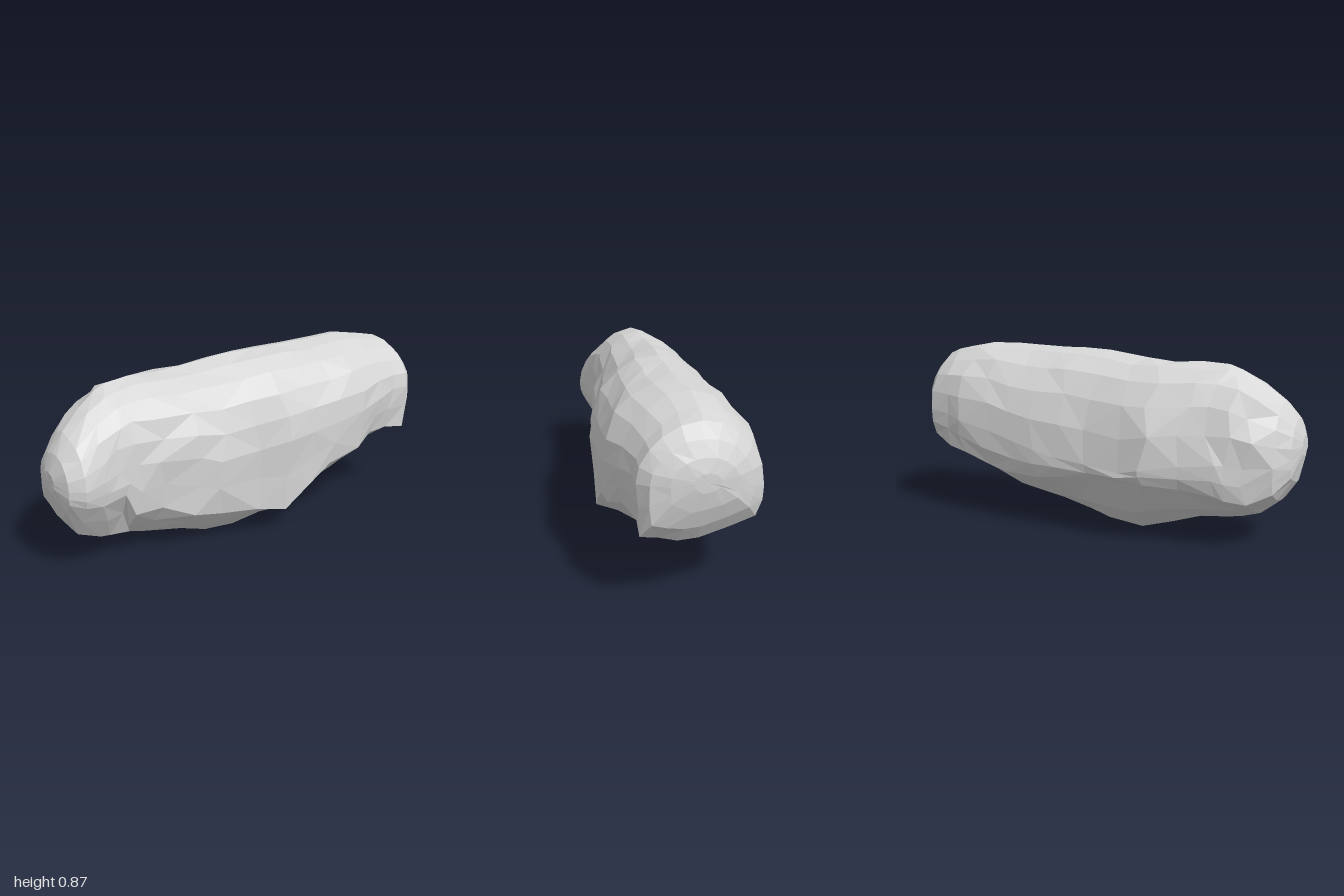
import * as THREE from 'three';

// Cross-sections along the boulder:
// [x, top, bottom, back z, front z, lower front edge y, lower back edge y]
const SECTIONS = [
  [-1.0, 0.5, 0.41, -0.04, 0.07, 0.44, 0.43],
  [-0.97, 0.58, 0.29, -0.13, 0.15, 0.38, 0.33],
  [-0.91, 0.655, 0.2, -0.2, 0.19, 0.36, 0.26],
  [-0.81, 0.735, 0.135, -0.25, 0.18, 0.35, 0.22],
  [-0.72, 0.79, 0.12, -0.275, 0.17, 0.36, 0.23],
  [-0.66, 0.805, 0.11, -0.29, 0.17, 0.25, 0.25],
  [-0.54, 0.815, 0.09, -0.32, 0.185, 0.25, 0.27],
  [-0.38, 0.818, 0.05, -0.37, 0.23, 0.19, 0.29],
  [-0.25, 0.825, 0.0, -0.36, 0.255, 0.16, 0.28],
  [-0.08, 0.848, 0.005, -0.335, 0.285, 0.15, 0.27],
  [0.08, 0.855, 0.04, -0.33, 0.33, 0.12, 0.26],
  [0.22, 0.857, 0.08, -0.32, 0.34, 0.23, 0.25],
  [0.36, 0.862, 0.12, -0.31, 0.36, 0.31, 0.25],
  [0.52, 0.872, 0.18, -0.29, 0.367, 0.35, 0.28],
  [0.67, 0.862, 0.25, -0.27, 0.335, 0.39, 0.32],
  [0.8, 0.842, 0.3, -0.24, 0.31, 0.39, 0.35],
  [0.9, 0.82, 0.335, -0.2, 0.32, 0.37, 0.39],
  [0.955, 0.77, 0.41, -0.14, 0.285, 0.44, 0.46],
  [0.985, 0.71, 0.49, -0.07, 0.21, 0.53, 0.53],
  [1.0, 0.65, 0.57, 0.01, 0.12, 0.59, 0.59],
];

function seeded(seed) {
  return () => {
    seed = (seed * 16807) % 2147483647;
    return seed / 2147483647 - 0.5;
  };
}

// Rounded upper arc, a back that is widest low down, and a flat chipped underside
function ring([x, top, bottom, back, front, yFront, yBack], rand) {
  const middle = (front + back) / 2, half = (front - back) / 2;
  const widestFront = Math.max(bottom + (top - bottom) * 0.54, yFront + 0.02);
  const widestBack = bottom + (top - bottom) * 0.4;
  const points = [];
  const arc = 10;
  for (let i = 0; i <= arc; i++) {
    const a = (i / arc) * Math.PI;
    const widest = i < arc / 2 ? widestFront : widestBack;
    points.push([widest + (top - widest) * Math.sin(a), middle + half * Math.cos(a)]);
  }
  points.push([(widestBack + yBack) / 2, middle - half * 0.99]);
  points.push([yBack, middle - half * 0.92]);
  points.push([bottom + (yBack - bottom) * 0.4, middle - half * 0.5]);
  points.push([bottom, middle + half * 0.02]);
  points.push([bottom, middle + half * 0.37]);
  points.push([bottom + (yFront - bottom) * 0.5, middle + half * 0.66]);
  points.push([yFront, middle + half * 0.95]);
  points.push([(widestFront + yFront) / 2, middle + half * 0.98]);
  const rough = Math.min(half, 0.25) * 0.05;
  const slide = Math.abs(x) < 0.85 ? 0.06 : 0.004;
  return points.map(([y, z]) => new THREE.Vector3(
    THREE.MathUtils.clamp(x + rand() * slide, -1, 1),
    Math.max(0, y + rand() * rough),
    z + rand() * rough
  ));
}

function boulderGeometry() {
  const rand = seeded(417);
  const rings = SECTIONS.map((s) => ring(s, rand));
  const n = rings[0].length;
  const positions = [];
  const tri = (...corners) => corners.forEach((p) => positions.push(p.x, p.y, p.z));

  // Skin, with irregular diagonals for natural facets
  for (let i = 0; i < rings.length - 1; i++) {
    for (let j = 0; j < n; j++) {
      const k = (j + 1) % n;
      const a = rings[i][j], b = rings[i + 1][j], c = rings[i + 1][k], d = rings[i][k];
      if (rand() > 0) { tri(a, b, c); tri(a, c, d); }
      else { tri(a, b, d); tri(b, c, d); }
    }
  }

  // Blunt ends
  for (const [end, side] of [[rings[0], -1], [rings[rings.length - 1], 1]]) {
    const centre = end.reduce((sum, p) => sum.add(p), new THREE.Vector3()).divideScalar(n);
    centre.x = side;
    for (let j = 0; j < n; j++) {
      const p = end[j], q = end[(j + 1) % n];
      if (side > 0) tri(centre, q, p);
      else tri(centre, p, q);
    }
  }

  const geometry = new THREE.BufferGeometry();
  geometry.setAttribute('position', new THREE.Float32BufferAttribute(positions, 3));
  geometry.computeVertexNormals();
  return geometry;
}

export function createModel() {
  const stone = new THREE.MeshStandardMaterial({ color: 0xd6d6d6 });
  stone.name = 'stoneGrey';
  stone.flatShading = true;

  const group = new THREE.Group();
  group.name = 'rock';
  const boulder = new THREE.Mesh(boulderGeometry(), stone);
  boulder.name = 'boulder';
  group.add(boulder);
  return group;
}
